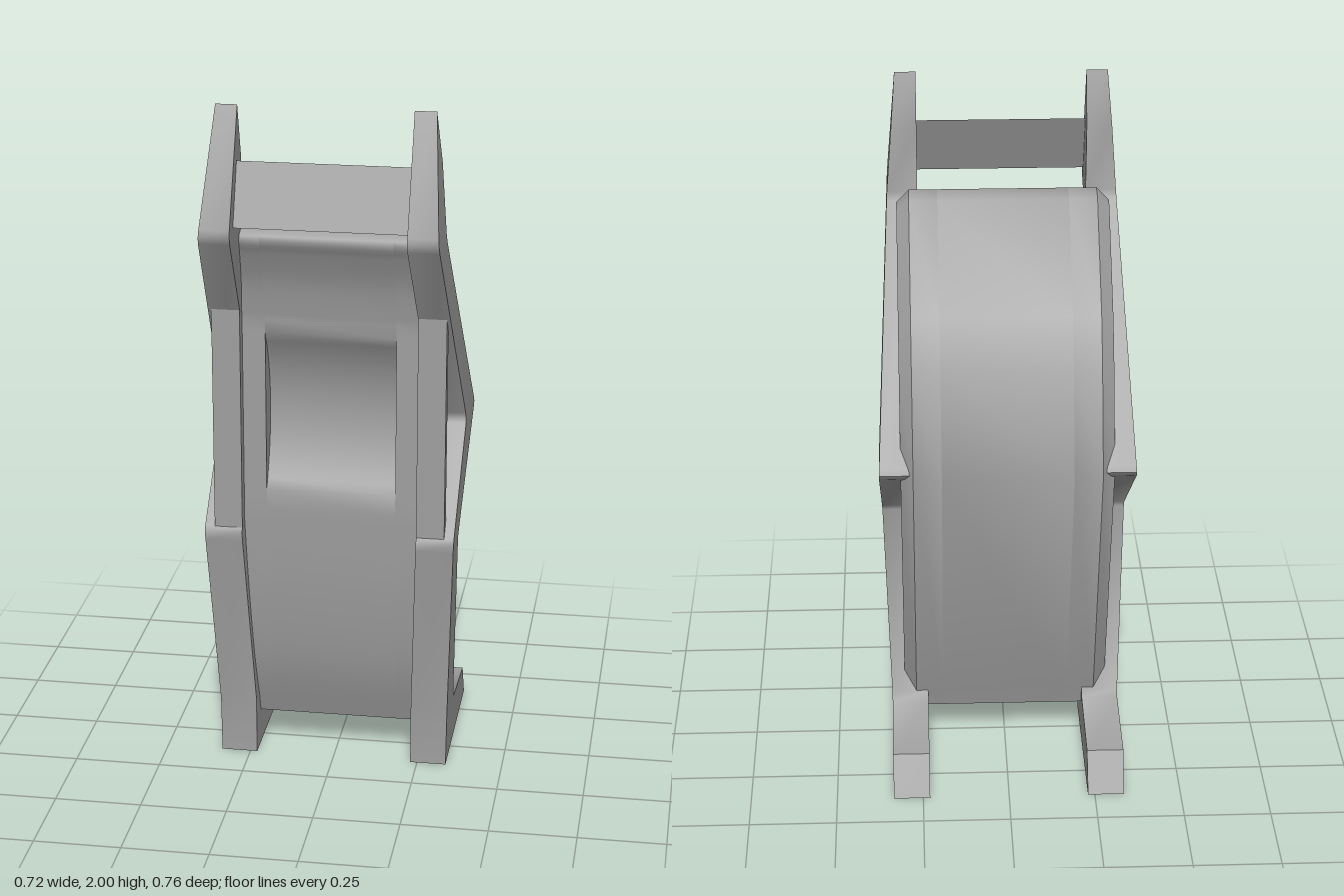
import * as THREE from 'three';
import { mergeGeometries, toCreasedNormals } from 'three/addons/utils/BufferGeometryUtils.js';

const material = new THREE.MeshStandardMaterial({ color: 0xa0a0a0 });
const plateMaterial = new THREE.MeshStandardMaterial({ color: 0xa0a0a0, side: THREE.DoubleSide });

// Piecewise linear lookup in a list of [y, value] pairs.
function lookup(table, y) {
  for (let i = 1; i < table.length; i++) {
    const [y0, a] = table[i - 1], [y1, b] = table[i];
    if (y <= y1) return a + (b - a) * Math.max(0, (y - y0) / (y1 - y0));
  }
  return table[table.length - 1][1];
}

// Extrudes a [z, y] profile by one unit and places each end at x = inner(y) or outer(y).
function sideExtrude(profile, side, inner, outer) {
  const shape = new THREE.Shape(profile.map(([z, y]) => new THREE.Vector2(z, y)));
  const geo = new THREE.ExtrudeGeometry(shape, { depth: 1, bevelEnabled: false });
  const p = geo.attributes.position;
  for (let i = 0; i < p.count; i++) {
    const z = p.getX(i), y = p.getY(i);
    const atInner = (p.getZ(i) > 0.5) === (side > 0);
    p.setXYZ(i, side * lookup(atInner ? inner : outer, y), y, z);
  }
  geo.computeVertexNormals();
  return toCreasedNormals(geo, 0.9);
}

// Zigzag side frame with horn, elbow, knee and foot.
const frameProfile = [
  [0.12, 0], [-0.38, 0], [-0.315, 0.11], [-0.065, 0.137], [-0.047, 0.16],
  [0.08, 0.71], [0.075, 0.725], [-0.279, 0.987], [-0.287, 1.0], [-0.279, 1.015],
  [0.205, 1.63], [0.215, 1.655], [0.2, 1.85], [0.245, 2.0],
  [0.38, 1.685], [0.383, 1.665], [0.375, 1.645],
  [-0.065, 1.04], [-0.07, 1.025], [-0.065, 1.01],
  [0.2, 0.755], [0.21, 0.74], [0.207, 0.715], [0.12, 0.17],
];
const frameInner = [[0, 0.23], [0.17, 0.23], [0.74, 0.25], [1.0, 0.265], [1.65, 0.24], [2, 0.24]];
const frameOuter = [[0, 0.335], [0.17, 0.337], [0.74, 0.358], [1.0, 0.36], [1.65, 0.327], [2, 0.3]];

// Top and back of the body, from the top ridge down to the bottom edge.
const backRim = [
  [0.135, 1.69], [0.085, 1.675], [-0.14, 1.41], [-0.2, 1.29], [-0.3, 0.99], [-0.045, 0.16], [-0.03, 0.105],
];

// Moves point i of a closed outline inwards so that both its edges shift by d.
function insetPoint(outline, i, d) {
  const n = outline.length;
  const [a, b, c] = [i - 1, i, i + 1].map((k) => new THREE.Vector2(...outline[(k + n) % n]));
  const inward = (p, q) => new THREE.Vector2(p.y - q.y, q.x - p.x).normalize();
  const n1 = inward(a, b), n2 = inward(b, c);
  const scale = d / (1 + n1.dot(n2));
  return b.addScaledVector(n1.add(n2), scale).toArray();
}

function creased(positions) {
  const geo = new THREE.BufferGeometry();
  geo.setAttribute('position', new THREE.Float32BufferAttribute(positions, 3));
  geo.computeVertexNormals();
  return toCreasedNormals(geo, 0.9);
}

function bodyGeometry() {
  const sample = (pts, n) => new THREE.SplineCurve(pts.map(([z, y]) => new THREE.Vector2(z, y)))
    .getPoints(n).map((v) => [v.x, v.y]);
  const lower = sample([[0.05, 0.105], [0.11, 0.3], [0.147, 0.55], [0.163, 0.8]], 14);
  const upper = sample([[0.163, 1.37], [0.185, 1.48], [0.22, 1.57], [0.238, 1.605]], 12);
  const lip = [[0.243, 1.622], [0.24, 1.634], [0.225, 1.643]];

  // Front line, either straight or sunk into an arc in the middle.
  const front = (depth) => {
    const mid = [];
    for (let i = 0; i <= 16; i++) {
      const t = i / 16;
      mid.push([0.163 - depth * 4 * t * (1 - t), 0.86 + 0.47 * t]);
    }
    return [...lower, ...mid, ...upper, ...lip];
  };
  const rim = [...front(0), ...backRim];
  const sunk = [...front(0.075), ...backRim];
  // Chamfered side outline: drawn in along the top, back and bottom.
  const frontCount = rim.length - backRim.length;
  const inset = rim.map(([z, y], i) => i < frontCount
    ? [Math.min(z, 0.205), THREE.MathUtils.clamp(y, 0.135, 1.617)]
    : insetPoint(rim, i, 0.033));

  const rings = [[-0.3, inset], [-0.265, rim], [-0.185, rim], [-0.185, sunk],
    [0.185, sunk], [0.185, rim], [0.265, rim], [0.3, inset]];
  const tri = (out, ...corners) => corners.forEach(([x, [z, y]]) => out.push(x, y, z));
  const parts = [];
  for (let r = 0; r + 1 < rings.length; r++) {
    const [x0, a] = rings[r], [x1, b] = rings[r + 1];
    const strip = [];
    for (let j = 0; j < rim.length; j++) {
      const k = (j + 1) % rim.length;
      if (x0 === x1 && a[j][0] === b[j][0] && a[k][0] === b[k][0]) continue;
      tri(strip, [x0, a[j]], [x1, b[j]], [x0, a[k]]);
      tri(strip, [x1, b[j]], [x1, b[k]], [x0, a[k]]);
    }
    parts.push(creased(strip));
  }
  // Flat side caps.
  const caps = [];
  const contour = inset.map(([z, y]) => new THREE.Vector2(z, y));
  for (const [i, j, k] of THREE.ShapeUtils.triangulateShape(contour, [])) {
    tri(caps, [-0.3, inset[i]], [-0.3, inset[j]], [-0.3, inset[k]]);
    tri(caps, [0.3, inset[i]], [0.3, inset[k]], [0.3, inset[j]]);
  }
  parts.push(creased(caps));
  return mergeGeometries(parts);
}

export function createModel() {
  const group = new THREE.Group();
  const add = (name, geo, mat = material) => {
    const mesh = new THREE.Mesh(geo, mat);
    mesh.name = name;
    group.add(mesh);
    return mesh;
  };

  add('body', bodyGeometry());

  for (const side of [1, -1]) {
    const label = side > 0 ? 'left' : 'right';
    add(label + 'Frame', sideExtrude(frameProfile, side, frameInner, frameOuter));
    // Upright strut closing the open front of the zigzag.
    add(label + 'Strut', new THREE.BoxGeometry(0.08, 0.68, 0.037))
      .position.set(side * 0.29, 1.08, 0.1825);
  }

  // Thin sloped cross plate between the horns.
  const plate = add('crossPlate', new THREE.PlaneGeometry(0.5, 0.182), plateMaterial);
  plate.position.set(0, 1.765, 0.2975);
  plate.rotation.x = -Math.atan2(0.065, 0.17);

  return group;
}
